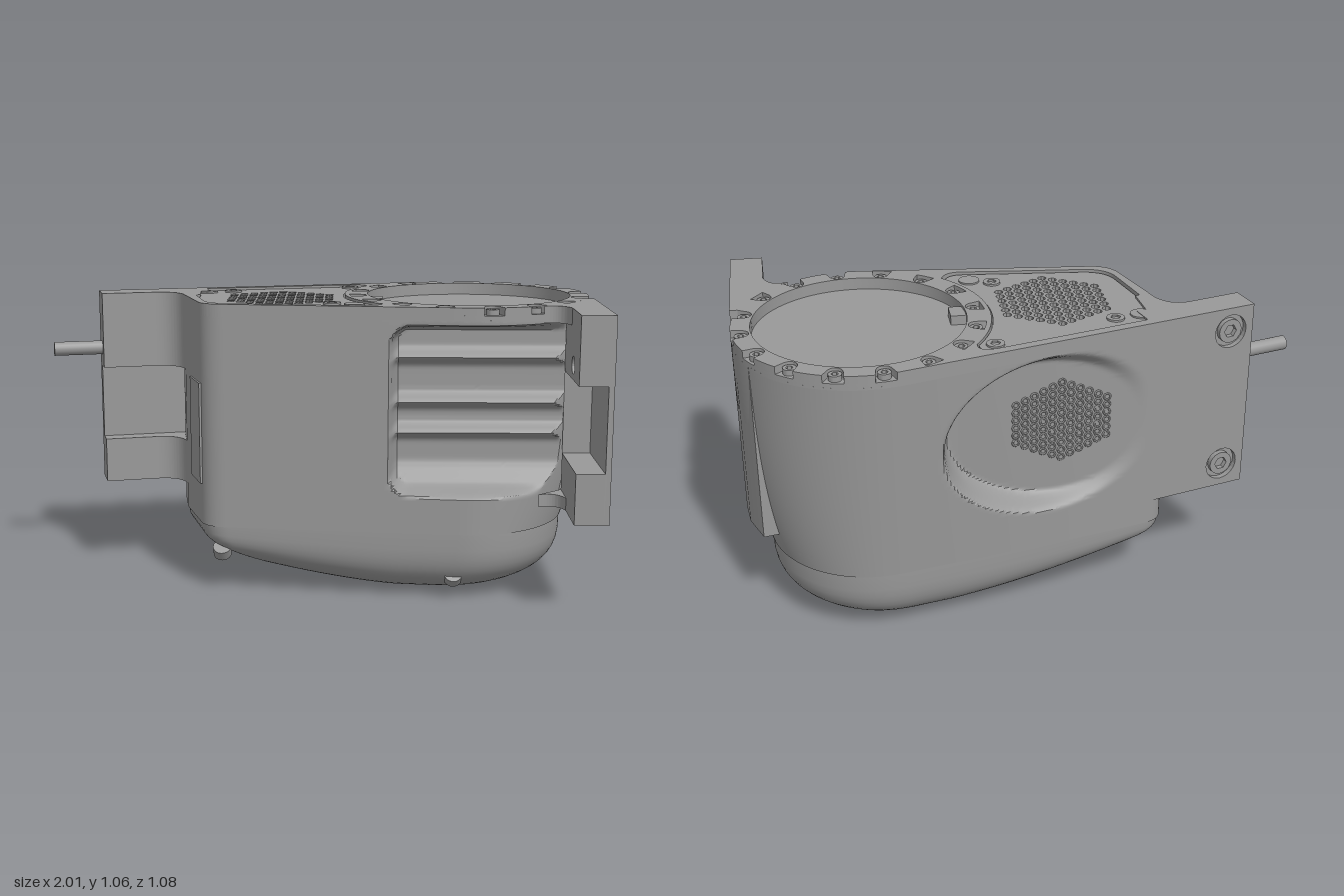
import * as THREE from 'three';
import { toCreasedNormals } from 'three/addons/utils/BufferGeometryUtils.js';

const metal = new THREE.MeshStandardMaterial({ color: 0x999999 });
metal.name = 'machined grey';
const RAD = Math.PI / 180;
const CX = 0.555, CZ = -0.1, R = 0.443; // round end of the housing
const { clamp, smoothstep, lerp } = THREE.MathUtils;

function add(parent, name, geo, x = 0, y = 0, z = 0) {
  const m = new THREE.Mesh(geo, metal);
  m.name = name;
  m.position.set(x, y, z);
  parent.add(m);
  return m;
}
const poly = (pts) => new THREE.Shape(pts.map(([x, y]) => new THREE.Vector2(x, y)));
const circle = (x, y, r, n = 24) => new THREE.Path(Array.from({ length: n }, (_, i) =>
  new THREE.Vector2(x + r * Math.cos(i / n * 2 * Math.PI), y + r * Math.sin(i / n * 2 * Math.PI))));
const extrude = (shape, depth) =>
  new THREE.ExtrudeGeometry(shape, { depth, bevelEnabled: false, curveSegments: 40 });

// plan shape (x, z) raised from y0 to y1
const prism = (shape, y0, y1) =>
  toCreasedNormals(extrude(shape, y1 - y0).rotateX(Math.PI / 2).translate(0, y1, 0), 0.5);

// rectangle with round holes
function holedPlate(x0, x1, y0, y1, holes) {
  const s = poly([[x0, y0], [x1, y0], [x1, y1], [x0, y1]]);
  holes.forEach(([x, y, r]) => s.holes.push(circle(x, y, r)));
  return s;
}

// plan outline; the inner variant follows the near side of the round end
function outline(inner) {
  const s = new THREE.Shape();
  s.moveTo(-0.33, 0.253);
  s.lineTo(0.509, 0.341);
  s.absarc(CX, CZ, R, 95.95 * RAD, (inner ? 255 : -105) * RAD, !inner);
  s.lineTo(-0.46, -0.289);
  s.quadraticCurveTo(-0.53, -0.27, -0.52, -0.18);
  s.lineTo(-0.5, -0.05);
  s.lineTo(-0.43, 0.17);
  s.quadraticCurveTo(-0.41, 0.245, -0.33, 0.253);
  return s;
}

// point of the side wall: taper, finger grip in front, scoop at the back
function wall(p, y) {
  const s = clamp((1.02 - y) / 0.77, 0, 1);
  let x = p.x - 0.16 * Math.max(0, p.x - 0.5) * s ** 3;
  let z = p.y + 0.114 * Math.max(0, -0.1 - p.y) * s * smoothstep(p.x, -0.5, 0.5);
  if (p.y > 0 && p.x > 0.2) {
    const dx = Math.abs(p.x - 0.6) - 0.27, dy = Math.abs(y - 0.69) - 0.23;
    const d = Math.hypot(Math.max(dx, 0), Math.max(dy, 0)) + Math.min(Math.max(dx, dy), 0) - 0.08;
    let floor = 0.19;
    for (const r of [0.87, 0.71, 0.6]) floor += 0.045 * Math.exp(-(((y - r) / 0.02) ** 2));
    floor += 0.06 * smoothstep(0.5 - y, 0, 0.12);
    z = lerp(z, Math.min(z, floor), smoothstep(-d, 0, 0.035));
  }
  if (p.y < -0.1 && p.x < 0.5) {
    const e = Math.hypot((p.x + 0.08) / 0.4, (y - 0.7) / 0.31);
    const d = 0.13 * clamp((p.x + 0.44) / 0.65, 0, 1) * smoothstep(1 - e, 0, 0.18);
    x += d * 0.257;
    z += d * 0.966;
  }
  return new THREE.Vector3(x, y, z);
}

// rounded underside, shallower toward the narrow end
function dome(p, a) {
  const b = wall(p, 0.25), k = Math.cos(a) ** 0.6 * 0.992, h = 1 - Math.sin(a) ** 0.6;
  const x = lerp(0.28, b.x, k), z = lerp(-0.06, b.z, k);
  const low = 0.14 * Math.max(0, (0.3 - x) / 0.75) ** 1.5;
  return new THREE.Vector3(x, lerp(low, 0.25, h), z);
}

// closed skin through rows of equal length, listed from top to bottom
function skin(rows) {
  const n = rows[0].length, idx = [];
  for (let r = 0; r < rows.length - 1; r++) for (let i = 0; i < n; i++) {
    const a = r * n + i, b = r * n + (i + 1) % n;
    idx.push(a, a + n, b, b, a + n, b + n);
  }
  const g = new THREE.BufferGeometry().setFromPoints(rows.flat());
  g.setIndex(idx);
  return toCreasedNormals(g, 0.6);
}

// cap screw with a hexagonal socket, axis along z
function screw(parent, r, h, x, y, z, rx = 0, ry = 0) {
  const s = new THREE.Shape(circle(0, 0, r, 20).getPoints());
  s.holes.push(circle(0, 0, r * 0.55, 6));
  add(parent, 'screw', toCreasedNormals(extrude(s, h), 0.5), x, y, z).rotation.set(rx, ry, 0);
}

// hexagonal cluster of grid positions
function hexGrid(step, n = 5) {
  const out = [];
  for (let q = -n; q <= n; q++) for (let r = -n; r <= n; r++)
    if (Math.abs(q + r) <= n) out.push([q * 0.866 * step, (r + q / 2) * step]);
  return out;
}

function panelShape() {
  const s = new THREE.Shape();
  s.moveTo(-0.42, -0.262);
  s.lineTo(0.1, -0.402);
  s.quadraticCurveTo(0.185, -0.425, 0.178, -0.364);
  s.absarc(CX, CZ, 0.46, 215 * RAD, 135 * RAD, true);
  s.quadraticCurveTo(0.21, 0.28, 0.15, 0.272);
  s.lineTo(-0.3, 0.225);
  s.quadraticCurveTo(-0.39, 0.215, -0.41, 0.14);
  s.lineTo(-0.49, -0.17);
  s.quadraticCurveTo(-0.51, -0.24, -0.42, -0.262);
  return s;
}

export function createModel() {
  const model = new THREE.Group();
  model.name = 'housing';

  // main shell and underside
  const pts = outline(false).getSpacedPoints(320).slice(0, -1);
  const rows = [];
  for (let i = 0; i <= 90; i++) rows.push(pts.map((p) => wall(p, lerp(1.015, 0.25, i / 90))));
  add(model, 'shell', skin(rows));
  const under = [rows[90]];
  for (let i = 0; i <= 16; i++) under.push(pts.map((p) => dome(p, i / 16 * Math.PI / 2 * 0.9999)));
  add(model, 'underside', skin(under));
  add(model, 'shellTop', new THREE.ShapeGeometry(new THREE.Shape(pts)).rotateX(Math.PI / 2)
    .scale(1, 1, 1).translate(0, 1.015, 0)).material = metal;
  add(model, 'shellTopPlate', prism(new THREE.Shape(pts), 1.008, 1.016));

  // top deck with the inset speaker panel
  const deck = outline(true);
  deck.holes.push(new THREE.Path(panelShape().getPoints(40)));
  add(model, 'deck', prism(deck, 1.015, 1.06));
  const mid = new THREE.Vector2(-0.13, -0.04);
  const panel = new THREE.Shape(panelShape().getPoints(40).slice(0, -1)
    .map((p) => p.sub(mid).multiplyScalar(0.975).add(mid)));
  for (const [x, z] of hexGrid(0.041)) panel.holes.push(circle(x - 0.14, z - 0.02, 0.016, 8));
  add(model, 'panel', prism(panel, 1.015, 1.052));
  for (const [x, z] of [[0.115, -0.36], [-0.33, -0.215], [0.05, 0.17]])
    screw(model, 0.032, 0.007, x, 1.052, z, -Math.PI / 2);
  for (const [x, z] of [[-0.425, -0.195], [0.13, 0.2]])
    add(model, 'panelButton', new THREE.CylinderGeometry(0.038, 0.038, 0.006, 24), x, 1.055, z);

  // round rim, scalloped around sixteen screws
  const base = new THREE.Shape(circle(CX, CZ, R, 96).getPoints());
  const rim = [];
  for (let i = 0; i < 384; i++) {
    const a = (15 + i * 0.9375) * RAD;
    const off = 0.41 * ((i + 12) % 24 - 12) * 0.9375 * RAD;
    const r = Math.abs(off) < 0.028 ? 0.41 - Math.sqrt(0.028 ** 2 - off ** 2) : R;
    rim.push([CX + r * Math.cos(a), CZ + r * Math.sin(a)]);
  }
  const top = poly(rim);
  for (const s of [base, top]) s.holes.push(circle(CX, CZ, 0.375, 96));
  add(model, 'rimBase', prism(base, 1.015, 1.032));
  add(model, 'rim', prism(top, 1.032, 1.06));
  for (let i = 0; i < 16; i++) {
    const a = (15 + i * 22.5) * RAD;
    screw(model, 0.023, 0.02, CX + 0.41 * Math.cos(a), 1.032, CZ + 0.41 * Math.sin(a), -Math.PI / 2);
  }
  add(model, 'rimKey', new THREE.BoxGeometry(0.06, 0.035, 0.08), 0.205, 1.033, -0.06);

  // perforations in the rear scoop
  for (const [u, v] of hexGrid(0.03)) {
    const x = -0.14 + u * 1.2, y = 0.72 + v;
    const p = wall(new THREE.Vector2(x, -0.411 - 0.266 * x), y);
    add(model, 'perforation', new THREE.TorusGeometry(0.012, 0.004, 4, 8), p.x, p.y, p.z).rotation.y = 0.07;
  }

  // left mounting plate: counterbored back, core and two front pads beside a channel
  const wing = new THREE.Group();
  wing.name = 'slantedPlate';
  wing.position.set(-0.84, 0, -0.187);
  wing.rotation.y = 15 * RAD;
  model.add(wing);
  const bores = [[0.09, 0.97, 0.063], [0.09, 0.43, 0.063]];
  add(wing, 'plateBack', extrude(holedPlate(0, 0.41, 0.34, 1.06, bores), 0.02));
  add(wing, 'plateCore', new THREE.BoxGeometry(0.41, 0.72, 0.03), 0.205, 0.7, 0.035);
  for (const [y0, y1] of [[0.34, 0.505], [0.78, 1.06]]) {
    add(wing, 'platePad', new THREE.BoxGeometry(0.41, y1 - y0, 0.064), 0.205, (y0 + y1) / 2, 0.082);
    const f = new THREE.Shape();
    f.moveTo(-0.62, -0.128);
    f.quadraticCurveTo(-0.52, -0.15, -0.49, -0.02);
    f.lineTo(-0.44, -0.05);
    f.lineTo(-0.45, -0.19);
    add(model, 'plateFillet', prism(f, y0, y1));
  }
  for (const [x, y] of bores) screw(wing, 0.045, 0.018, x, y, 0.02, 0, Math.PI);
  const pin = add(wing, 'pin', new THREE.CylinderGeometry(0.026, 0.026, 0.2, 20), -0.08, 0.85, 0.06);
  pin.rotation.z = Math.PI / 2;

  // right mounting plate: counterbored skin, pads and a finger notch between them
  const side = (shape, x0, x1) => extrude(shape, x1 - x0).rotateY(Math.PI / 2).translate(x0, 0, 0);
  const hole = [-0.39, 0.87, 0.031], bores2 = [[-0.445, 0.97, 0.063], [-0.445, 0.43, 0.063]];
  add(model, 'sidePlateSkin', side(holedPlate(-0.535, -0.05, 0.34, 1.06, [hole, ...bores2]), 0.98, 1));
  add(model, 'sidePlatePad', side(holedPlate(-0.535, -0.2, 0.82, 1.06, [hole]), 0.88, 0.98));
  add(model, 'sidePlatePad', side(holedPlate(-0.535, -0.2, 0.34, 0.52, []), 0.88, 0.98));
  for (const [z, y] of bores2) screw(model, 0.045, 0.018, 0.98, y, -z, 0, Math.PI / 2);
  add(model, 'sidePlateRoot', prism(poly(
    [[0.88, 0.2], [0.94, 0.12], [0.97, 0.05], [0.998, 0.05], [0.985, 0.2]]), 0.345, 1.06));
  add(model, 'sidePlateBlend', prism(poly(
    [[0.86, 0.15], [0.98, 0.15], [1, 0.06], [0.998, -0.1], [0.986, -0.2], [0.94, -0.32], [0.85, -0.3]]), 0.345, 1.012));
  for (const [y0, y1] of [[0.34, 0.385], [1, 1.06]]) {
    const f = new THREE.Shape();
    f.moveTo(0.79, 0.28);
    f.quadraticCurveTo(0.87, 0.25, 0.885, 0.36);
    f.lineTo(0.93, 0.3);
    f.lineTo(0.9, 0.18);
    f.lineTo(0.86, 0.22);
    add(model, 'sidePlateFillet', prism(f, y0, y1));
  }

  // narrow strip on the end wall and two plugs under the rounded bottom
  add(model, 'endStrip', new THREE.BoxGeometry(0.16, 0.37, 0.008), -0.447, 0.585, 0.125).rotation.y = -72.5 * RAD;
  for (const [x, y, z, rx] of [[0.49, 0.08, 0.28, 0.8], [-0.35, 0.15, 0.2, 0.6]])
    add(model, 'plug', new THREE.CylinderGeometry(0.033, 0.033, 0.04, 20), x, y, z).rotation.x = rx;
  return model;
}
